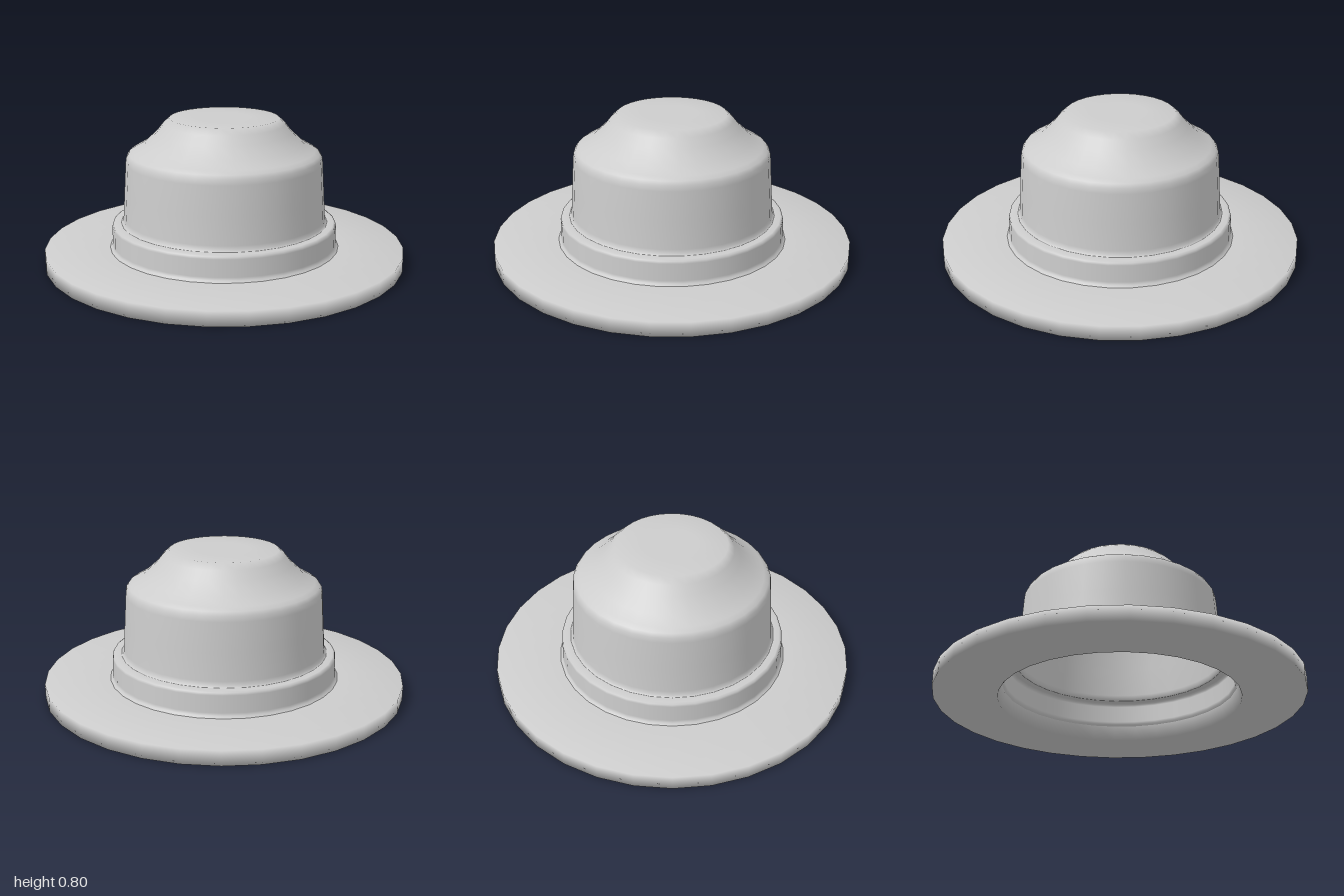
import * as THREE from 'three';

const SIDES = 32;

// Turns a list of [radius, height] points into a smooth ring-shaped part
function turned(name, profile, material) {
  const points = profile.map(([r, y]) => new THREE.Vector2(r, y));
  const mesh = new THREE.Mesh(new THREE.LatheGeometry(points, SIDES), material);
  mesh.name = name;
  return mesh;
}

export function createModel() {
  const felt = new THREE.MeshStandardMaterial({ color: 0xcccccc, side: THREE.DoubleSide });
  felt.name = 'light grey felt';

  const hat = new THREE.Group();
  hat.name = 'hat';

  // Flat brim with a wide opening underneath
  hat.add(turned('brim', [
    [0.635, 0.08], [0.656, 0], [1, 0], [1, 0.08], [0.64, 0.08],
  ], felt));

  // Raised band with softly rounded edges, ending in a narrow ledge
  hat.add(turned('band', [
    [0.64, 0.08], [0.628, 0.09], [0.625, 0.105], [0.624, 0.2],
    [0.621, 0.213], [0.61, 0.22], [0.575, 0.22],
  ], felt));

  // Tapered crown with a rounded shoulder and a flat-topped dome
  hat.add(turned('crown', [
    [0.575, 0.22], [0.565, 0.228], [0.561, 0.25], [0.552, 0.4], [0.542, 0.56],
    [0.538, 0.59], [0.525, 0.61], [0.5, 0.625], [0.44, 0.66], [0.37, 0.725],
    [0.335, 0.77], [0.3, 0.802], [0.15, 0.803], [0, 0.803],
  ], felt));

  return hat;
}
